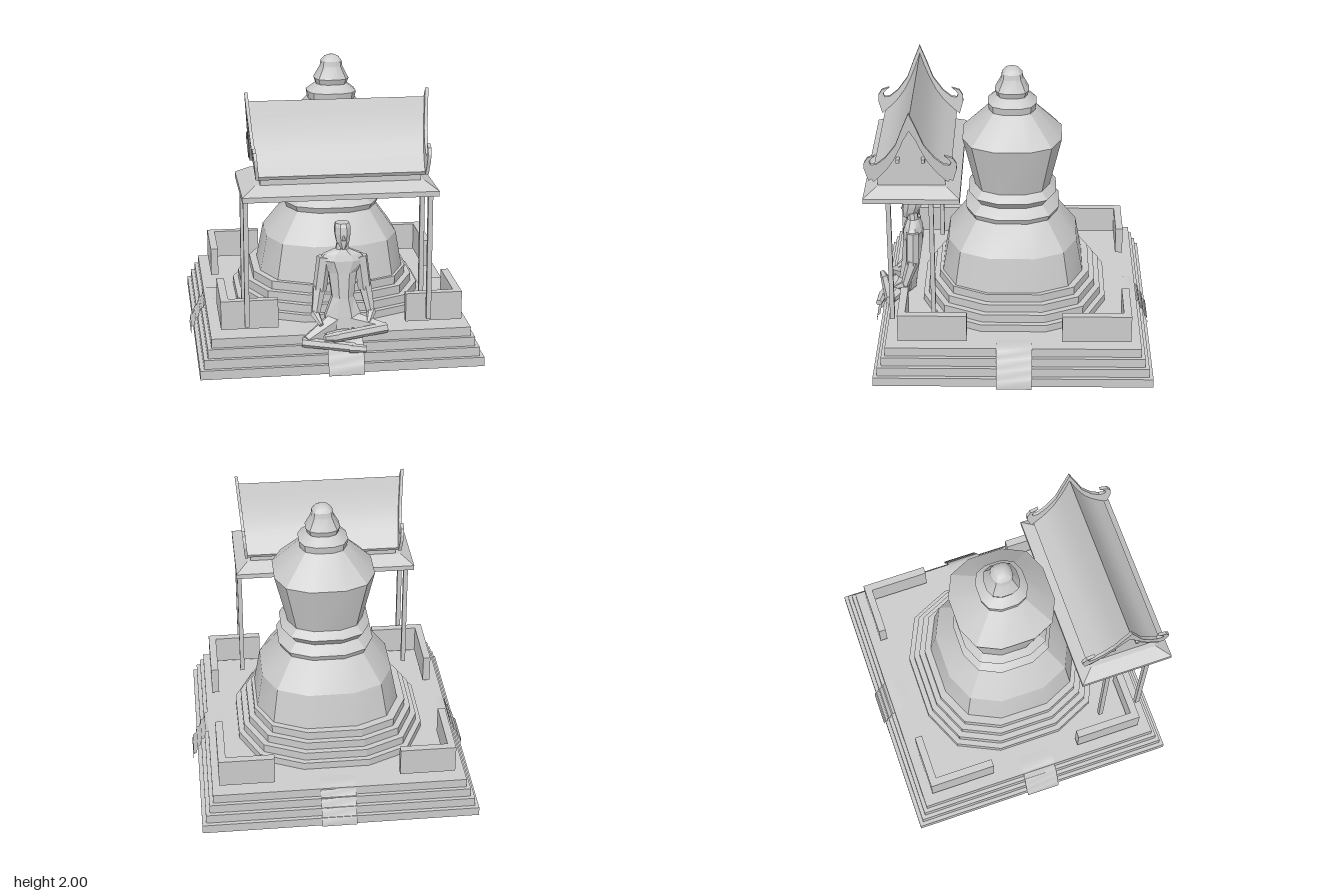
import * as THREE from 'three';
import { toCreasedNormals } from 'three/addons/utils/BufferGeometryUtils.js';

const smooth = new THREE.MeshStandardMaterial({ color: 0xcccccc });
const flat = new THREE.MeshStandardMaterial({ color: 0xcccccc, flatShading: true });
const sheet = new THREE.MeshStandardMaterial({ color: 0xcccccc, side: THREE.DoubleSide });

function add(parent, name, geometry, material = flat) {
  const mesh = new THREE.Mesh(geometry, material);
  mesh.name = name;
  parent.add(mesh);
  return mesh;
}

// Box given by its low and high limits on each axis
function box(parent, name, [x0, x1], [y0, y1], [z0, z1]) {
  const mesh = add(parent, name, new THREE.BoxGeometry(x1 - x0, y1 - y0, z1 - z0));
  mesh.position.set((x0 + x1) / 2, (y0 + y1) / 2, (z0 + z1) / 2);
}

// Skin over rings of [x, y, z], counter-clockwise from above, listed bottom to top
function loft(rings, capped = true) {
  const out = [];
  const n = rings[0].length;
  const centre = (r) => [0, 1, 2].map((k) => r.reduce((s, p) => s + p[k], 0) / n);
  const low = rings[0], high = rings[rings.length - 1];
  const cLow = centre(low), cHigh = centre(high);
  for (let i = 0; i < n; i++) {
    const j = (i + 1) % n;
    if (capped) out.push(cLow, low[j], low[i], cHigh, high[i], high[j]);
    for (let r = 0; r < rings.length - 1; r++) {
      const a = rings[r], b = rings[r + 1];
      out.push(a[i], a[j], b[j], a[i], b[j], b[i]);
    }
  }
  const g = new THREE.BufferGeometry();
  g.setAttribute('position', new THREE.Float32BufferAttribute(out.flat(), 3));
  g.computeVertexNormals();
  return g;
}

const rectRing = (y, [x0, x1], [z0, z1]) => [[x1, y, z1], [x1, y, z0], [x0, y, z0], [x0, y, z1]];

// Twelve-sided ring: a square with blunted corners
function stupaRing(y, h, cx, cz) {
  const ring = [];
  let pts = [[1, -0.35], [0.8, -0.79], [0.35, -1]];
  for (let q = 0; q < 4; q++) {
    for (const [x, z] of pts) ring.push([cx + x * h * 1.015, y, cz + z * h]);
    pts = pts.map(([x, z]) => [z, -x]);
  }
  return ring;
}

// Eight-sided body section: height, half width, front z, back z
function bodyRing([y, w, zf, zb]) {
  return Array.from({ length: 8 }, (_, i) => {
    const a = (i + 0.5) * Math.PI / 4;
    return [0.012 + 1.08 * w * Math.cos(a), y, (zf + zb) / 2 - 1.08 * (zf - zb) / 2 * Math.sin(a)];
  });
}

// Tapered limb between two points
function limb(parent, name, a, b, ra, rb) {
  const p = new THREE.Vector3(...a), q = new THREE.Vector3(...b);
  const dir = q.clone().sub(p);
  const mesh = add(parent, name, new THREE.CylinderGeometry(rb, ra, dir.length(), 6));
  mesh.quaternion.setFromUnitVectors(new THREE.Vector3(0, 1, 0), dir.normalize());
  mesh.position.copy(p).add(q).multiplyScalar(0.5);
}

// Outline of [z offset, y] extruded along x
function extrudeAlongX(points, length) {
  const shape = new THREE.Shape(points.map((p) => new THREE.Vector2(...p)));
  return new THREE.ExtrudeGeometry(shape, { depth: length, bevelEnabled: false })
    .translate(0, 0, -length / 2).rotateY(Math.PI / 2);
}

// Full outline from a half outline whose first and last points lie on the centre line
const mirrored = (half) => [...half, ...half.slice(1, -1).reverse().map(([d, y]) => [-d, y])];

function createPlatform() {
  const g = new THREE.Group();
  g.name = 'platform';
  const xs = (h) => [-0.007 - h, -0.007 + h], zs = (h) => [-0.018 - h, -0.018 + h];
  // Lowest step is a skirt, hollow underneath
  add(g, 'platformSkirt', loft([0, 0.064].map((y) => rectRing(y, xs(0.968), zs(0.968))), false), sheet);
  box(g, 'platformStep', xs(0.968), [0.058, 0.064], zs(0.968));
  [0.94, 0.912, 0.885].forEach((h, i) =>
    box(g, 'platformStep', xs(h), [(i + 1) * 0.064, (i + 2) * 0.064], zs(h)));

  // Worn stairs: an open rippled strip in the middle of each side, [out, y] from the top
  const steps = [[0.76, 0.257], [0.82, 0.262], [0.87, 0.26], [0.9, 0.245], [0.905, 0.2], [0.93, 0.185],
    [0.94, 0.135], [0.962, 0.12], [0.97, 0.07], [0.992, 0.055], [0.997, 0]];
  for (let i = 0; i < 4; i++) {
    const geo = new THREE.PlaneGeometry(0.245, 1, 1, steps.length - 1);
    steps.forEach(([out, y], r) => {
      for (const c of [0, 1]) geo.attributes.position.setXYZ(r * 2 + c, (c - 0.5) * 0.245, y, out);
    });
    geo.computeVertexNormals();
    const stair = add(g, 'stairs', geo, sheet);
    stair.rotation.y = i * Math.PI / 2;
    stair.position.set(i % 2 ? 0 : 0.008, 0, i % 2 ? -0.025 : -0.003);
  }

  // L-shaped corner walls
  for (const sx of [-1, 1]) for (const sz of [-1, 1]) {
    const span = (c, s, a, b) => [c + s * a, c + s * b].sort((m, n) => m - n);
    const y = [0.285, 0.485];
    box(g, 'cornerWall', span(0.005, sx, 0.437, 0.825), y, span(-0.027, sz, 0.752, 0.805));
    box(g, 'cornerWall', span(0.005, sx, 0.772, 0.825), y, span(-0.027, sz, 0.328, 0.752));
  }
  return g;
}

function createStupa() {
  const g = new THREE.Group();
  g.name = 'stupa';
  [0.652, 0.615, 0.575, 0.535].forEach((h, i) => {
    const y = 0.25 + i * 0.059;
    add(g, 'stupaStep', loft([stupaRing(y, h, -0.004, -0.02), stupaRing(y + 0.059, h, -0.004, -0.02)]));
  });
  // Bell, mouldings, flared body and finial
  const profile = [[0.48, 0.5], [0.735, 0.455], [0.935, 0.313], [0.975, 0.33], [1.035, 0.267], [1.09, 0.308],
    [1.14, 0.262], [1.505, 0.345], [1.7, 0.16], [1.75, 0.167], [1.8, 0.105], [1.838, 0.117],
    [1.92, 0.075], [1.958, 0.07], [1.985, 0.048], [1.997, 0.025], [2, 0.006]];
  const rings = profile.map(([y, h]) => {
    const t = (y - 0.48) / 1.52;
    return stupaRing(y, h, 0.01 + 0.02 * t, -0.008 + 0.006 * t);
  });
  add(g, 'stupaBody', toCreasedNormals(loft(rings), 0.44), smooth);
  return g;
}

function createPavilion() {
  const g = new THREE.Group();
  g.name = 'pavilion';
  for (const x of [-0.648, 0.588]) for (const z of [0.54, 0.83])
    box(g, 'post', [x - 0.016, x + 0.016], [0.32, 1.24], [z - 0.016, z + 0.016]);
  // Eaves, open underneath
  const eaves = loft([rectRing(1.235, [-0.68, 0.615], [0.345, 1]), rectRing(1.27, [-0.68, 0.615], [0.345, 1]),
    rectRing(1.325, [-0.59, 0.53], [0.435, 0.91])], false);
  add(g, 'eaves', toCreasedNormals(eaves, 0.3), sheet);
  box(g, 'roofBase', [-0.59, 0.53], [1.318, 1.325], [0.435, 0.91]);
  box(g, 'roofBase', [-0.555, 0.505], [1.32, 1.39], [0.445, 0.905]);

  // Lean the ends outwards with height, then move into place
  const place = (geo, side) => {
    const p = geo.attributes.position;
    for (let i = 0; i < p.count; i++) {
      const s = side || Math.sign(p.getX(i));
      p.setX(i, p.getX(i) + s * 0.085 * (p.getY(i) - 1.385));
    }
    geo.translate(-0.021, 0, 0.675);
    geo.computeVertexNormals();
    return geo;
  };

  // Concave roof shell over a recessed gable core
  const slope = [[0, 1.835], [0.035, 1.735], [0.07, 1.65], [0.115, 1.56], [0.165, 1.49], [0.205, 1.447], [0.265, 1.39]];
  const under = slope.map(([d, y]) => [d * 0.95, y - 0.025]).reverse();
  const shell = extrudeAlongX(mirrored([...slope, ...under]), 1.13);
  add(g, 'roof', toCreasedNormals(place(shell, 0), 0.5), smooth);
  const core = extrudeAlongX(mirrored([...slope.slice(0, -1).map(([d, y]) => [d, y - 0.015]), [0.23, 1.385], [0, 1.385]]), 1.06);
  add(g, 'gableWall', core.translate(-0.025, 0, 0.675));

  // Gable boards with upturned horns, and purlin ends behind them
  const board = mirrored([[0, 1.893], [0.05, 1.77], [0.095, 1.65], [0.165, 1.555], [0.225, 1.505], [0.265, 1.5],
    [0.275, 1.525], [0.255, 1.55], [0.228, 1.573], [0.285, 1.555], [0.31, 1.515], [0.312, 1.47], [0.285, 1.375],
    [0.215, 1.435], [0.15, 1.5], [0.08, 1.62], [0, 1.76]]);
  for (const s of [-1, 1]) {
    add(g, 'gableBoard', place(extrudeAlongX(board, 0.022).translate(s * 0.558, 0, 0), s));
    const x = -0.021 + s * 0.54;
    for (const d of [-0.085, 0.085])
      box(g, 'purlinEnd', [x - 0.03, x + 0.03], [1.51, 1.535], [0.663 + d, 0.687 + d]);
  }
  return g;
}

function createFigure() {
  const g = new THREE.Group();
  g.name = 'seatedFigure';
  const torso = [[0.27, 0.12, 0.83, 0.7], [0.35, 0.125, 0.82, 0.69], [0.48, 0.074, 0.8, 0.668], [0.65, 0.095, 0.785, 0.642],
    [0.735, 0.155, 0.78, 0.645], [0.775, 0.125, 0.765, 0.66], [0.81, 0.045, 0.75, 0.675], [0.86, 0.036, 0.75, 0.68]];
  add(g, 'torso', loft(torso.map(bodyRing)));
  const head = [[0.82, 0.012, 0.78, 0.73], [0.87, 0.044, 0.782, 0.675], [0.92, 0.052, 0.78, 0.648],
    [0.97, 0.053, 0.77, 0.645], [0.992, 0.046, 0.755, 0.66]];
  add(g, 'head', loft(head.map(bodyRing)));
  limb(g, 'nose', [0.012, 0.925, 0.772], [0.012, 0.885, 0.787], 0.005, 0.013);

  // Arms resting on the knees
  for (const s of [-1, 1]) {
    const at = (x, y, z) => [0.012 + s * x, y, z];
    limb(g, 'upperArm', at(0.125, 0.755, 0.71), at(0.155, 0.52, 0.715), 0.048, 0.048);
    limb(g, 'forearm', at(0.157, 0.54, 0.71), at(0.19, 0.36, 0.77), 0.048, 0.03);
    limb(g, 'hand', at(0.195, 0.37, 0.765), at(0.16, 0.315, 0.85), 0.034, 0.016);
  }

  // Crossed legs, left knee higher than the right
  limb(g, 'leftThigh', [0.05, 0.31, 0.76], [0.28, 0.285, 0.87], 0.07, 0.032);
  limb(g, 'leftShin', [0.295, 0.285, 0.87], [-0.08, 0.255, 0.94], 0.036, 0.034);
  limb(g, 'leftFoot', [-0.05, 0.26, 0.935], [-0.14, 0.265, 0.965], 0.034, 0.022);
  limb(g, 'rightThigh', [-0.04, 0.31, 0.76], [-0.25, 0.22, 0.88], 0.07, 0.036);
  limb(g, 'rightShin', [-0.28, 0.21, 0.88], [0.07, 0.18, 0.95], 0.034, 0.032);
  limb(g, 'rightFoot', [0.03, 0.18, 0.95], [0.145, 0.175, 0.97], 0.034, 0.024);
  return g;
}

export function createModel() {
  const model = new THREE.Group();
  model.name = 'stupaWithPavilion';
  model.add(createPlatform(), createStupa(), createPavilion(), createFigure());
  return model;
}
